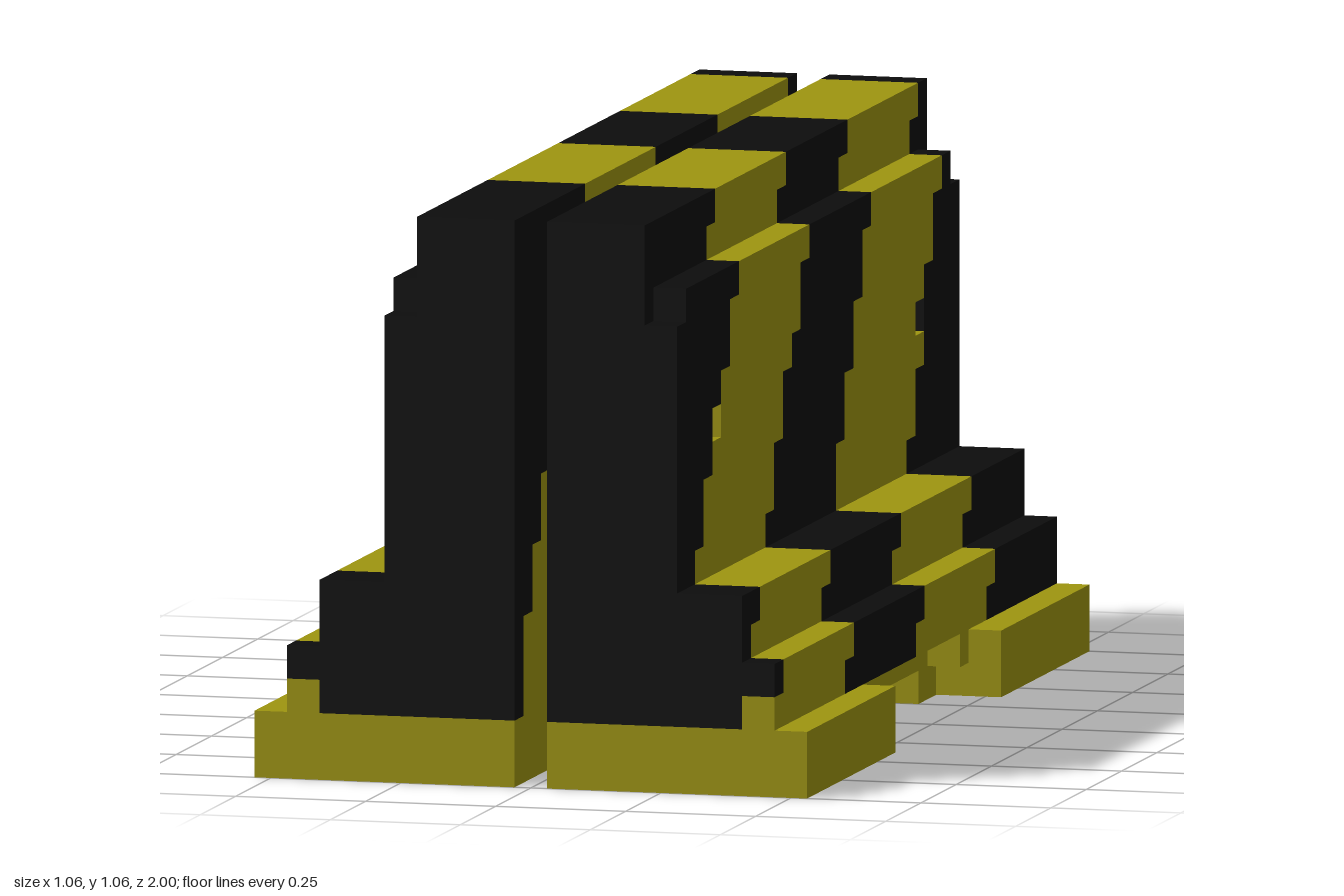
import * as THREE from 'three';
import { mergeGeometries } from 'three/addons/utils/BufferGeometryUtils.js';

const U = 1 / 16; // one block

export function createModel() {
  const black = new THREE.MeshStandardMaterial({ color: 0x0d0d0d });
  black.name = 'black';
  const yellow = new THREE.MeshStandardMaterial({ color: 0x9e9510 });
  yellow.name = 'yellow';

  // Box from ranges in block units, mirrored to either side
  const block = (side, x0, x1, y0, y1, z0, z1) =>
    new THREE.BoxGeometry((x1 - x0) * U, (y1 - y0) * U, (z1 - z0) * U)
      .translate(side * (x0 + x1) / 2 * U, (y0 + y1) / 2 * U, (z0 + z1) / 2 * U);

  // Outer edge of the stepped wall at each row
  const outer = r => (r < 4 ? 7.5 : r < 6 ? 6.5 : r < 15 ? 4.5 : 3.5);

  // Slanted stripe boundaries: start z, and the rows where each shifts back
  const borders = [
    [16, [3, 5, 7, 9, 11, 12, 14, 16]],
    [8, [3, 5, 7, 9, 11, 12, 14, 16]],
    [0, [3, 5, 8, 10, 12, 14, 16]],
    [-8, [3, 5, 7, 9, 12, 14, 16]],
  ];

  function createHalf(side) {
    const parts = { black: [], yellow: [] };
    const add = (name, ...range) => parts[name].push(block(side, ...range));

    for (let r = 2; r <= 16; r++) {
      const edges = [16, ...borders.map(([z, steps]) => z - steps.filter(s => r >= s).length), -16];
      for (let i = 0; i < 5; i++) {
        const name = i % 2 ? 'yellow' : 'black';
        // Cut at the end notches, and leave out the through holes
        const cuts = [16, 15, 12, 11, -11, -12, -15, -16].filter(z => z < edges[i] && z > edges[i + 1]);
        const zs = [edges[i], ...(r === 10 || r === 14 || r === 2 ? cuts : []), edges[i + 1]];
        for (let k = 0; k < zs.length - 1; k++) {
          const [z1, z0] = [zs[k], zs[k + 1]];
          if (z1 <= z0) continue;
          const mid = Math.abs(z0 + z1) / 2;
          if (r === 10 && mid === 11.5) continue;
          if (r === 2 && z1 === 16) { // dark end panel reaches down to the foot
            add('black', 0.5, 6.5, r, r + 1, z0, z1);
            add(name, 6.5, 7.5, r, r + 1, z0, z1);
            continue;
          }
          const x1 = r === 14 && mid === 15.5 ? 3.5 : outer(r);
          add(name, 0.5, x1, r, r + 1, z0, z1);
        }
      }
    }

    const half = new THREE.Group();
    half.name = side > 0 ? 'leftHalf' : 'rightHalf';
    const addMesh = (name, geometries, material) => {
      const mesh = new THREE.Mesh(mergeGeometries(geometries), material);
      mesh.name = name;
      half.add(mesh);
    };
    addMesh('blackStripes', parts.black, black);
    addMesh('yellowStripes', parts.yellow, yellow);

    // Feet with a narrower inner step and a small side lug
    for (const end of [1, -1]) {
      const foot = (x0, x1, y0, y1, a, b) =>
        block(side, x0, x1, y0, y1, Math.min(end * a, end * b), Math.max(end * a, end * b));
      addMesh(end > 0 ? 'frontFoot' : 'backFoot', [
        foot(0.5, 8.5, 0, 2, 6, 16),
        foot(0.5, 6.5, 0, 2, 4, 6),
        foot(6.5, 7.5, 1, 2, 5, 6),
      ], yellow);
    }
    // Raised underside between the feet
    addMesh('baseBridge', [block(side, 0.5, 6.5, 1, 2, -4, 4)], yellow);
    return half;
  }

  const model = new THREE.Group();
  model.name = 'stripedBarrier';
  model.add(createHalf(1), createHalf(-1));
  return model;
}
